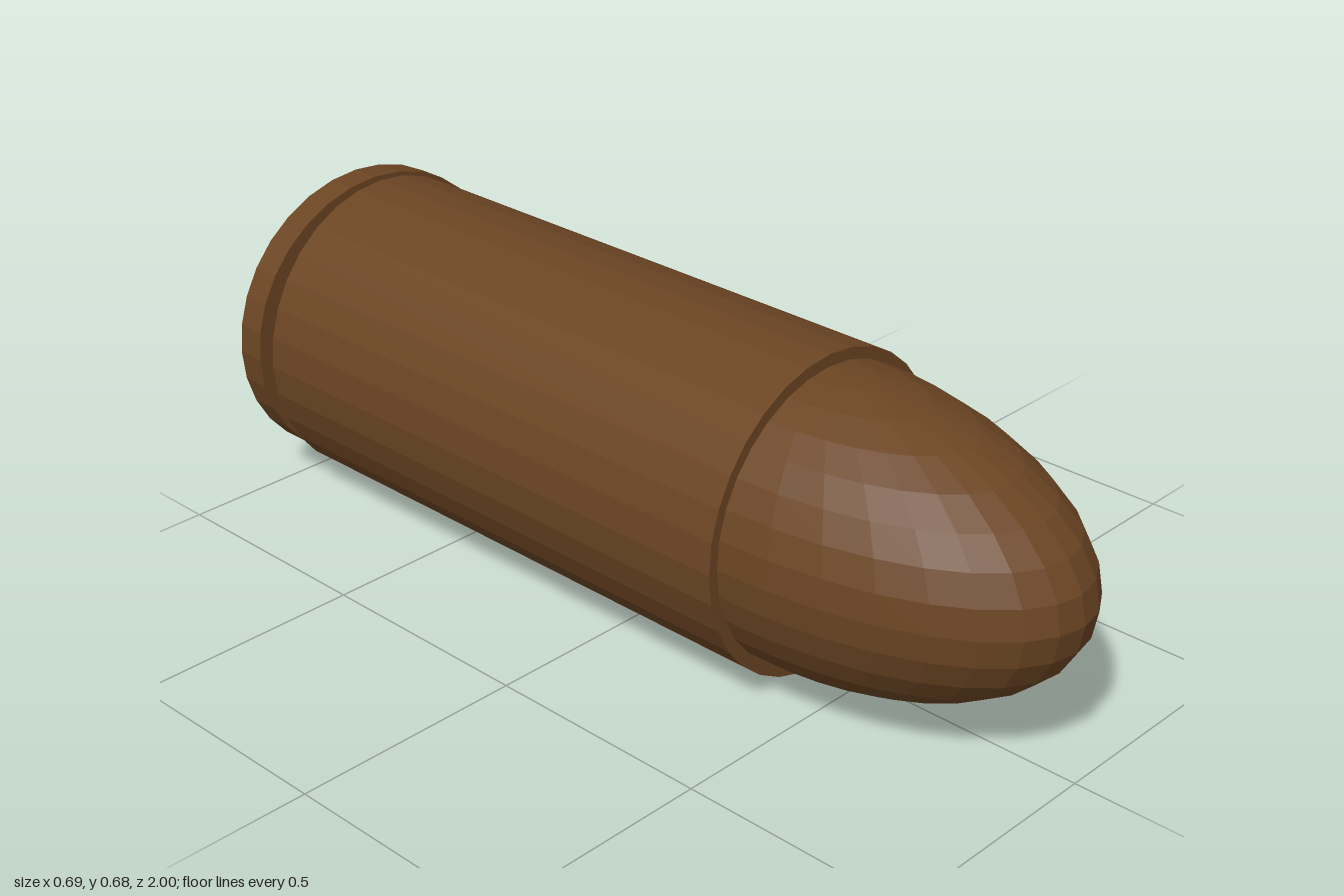
import * as THREE from 'three';

const brown = new THREE.MeshStandardMaterial({ color: 0x6b4523, flatShading: true });
brown.name = 'brown';
const darkBrown = new THREE.MeshStandardMaterial({ color: 0x593a1d, flatShading: true });
darkBrown.name = 'dark brown';

const SIDES = 32;

export function createModel() {
  const group = new THREE.Group();

  const add = (name, geometry, material, x, y, z) => {
    const mesh = new THREE.Mesh(geometry, material);
    mesh.name = name;
    mesh.position.set(x, y, z);
    group.add(mesh);
  };

  // Slightly oval cylinder lying along z between two ends
  const barrel = (name, material, x, y, rx, ry, zBack, zFront) => {
    const geometry = new THREE.CylinderGeometry(1, 1, zFront - zBack, SIDES)
      .rotateX(Math.PI / 2)
      .scale(rx, ry, 1);
    add(name, geometry, material, x, y, (zBack + zFront) / 2);
  };

  // Casing, extractor groove and rim
  barrel('casing', brown, -0.012, 0.34, 0.328, 0.34, -0.9, 0.393);
  barrel('groove', brown, -0.012, 0.342, 0.262, 0.268, -0.95, -0.88);
  barrel('rim', brown, -0.002, 0.347, 0.347, 0.329, -0.998, -0.933);

  // Flush darker disc on the base
  barrel('baseDisc', darkBrown, -0.006, 0.345, 0.252, 0.25, -1, -0.996);

  // Half ellipsoid tip, with its poles at top and bottom
  const tip = new THREE.SphereGeometry(1, SIDES / 2, 16, 0, Math.PI).scale(0.307, 0.311, 0.61);
  add('tip', tip, brown, -0.012, 0.344, 0.39);

  return group;
}
